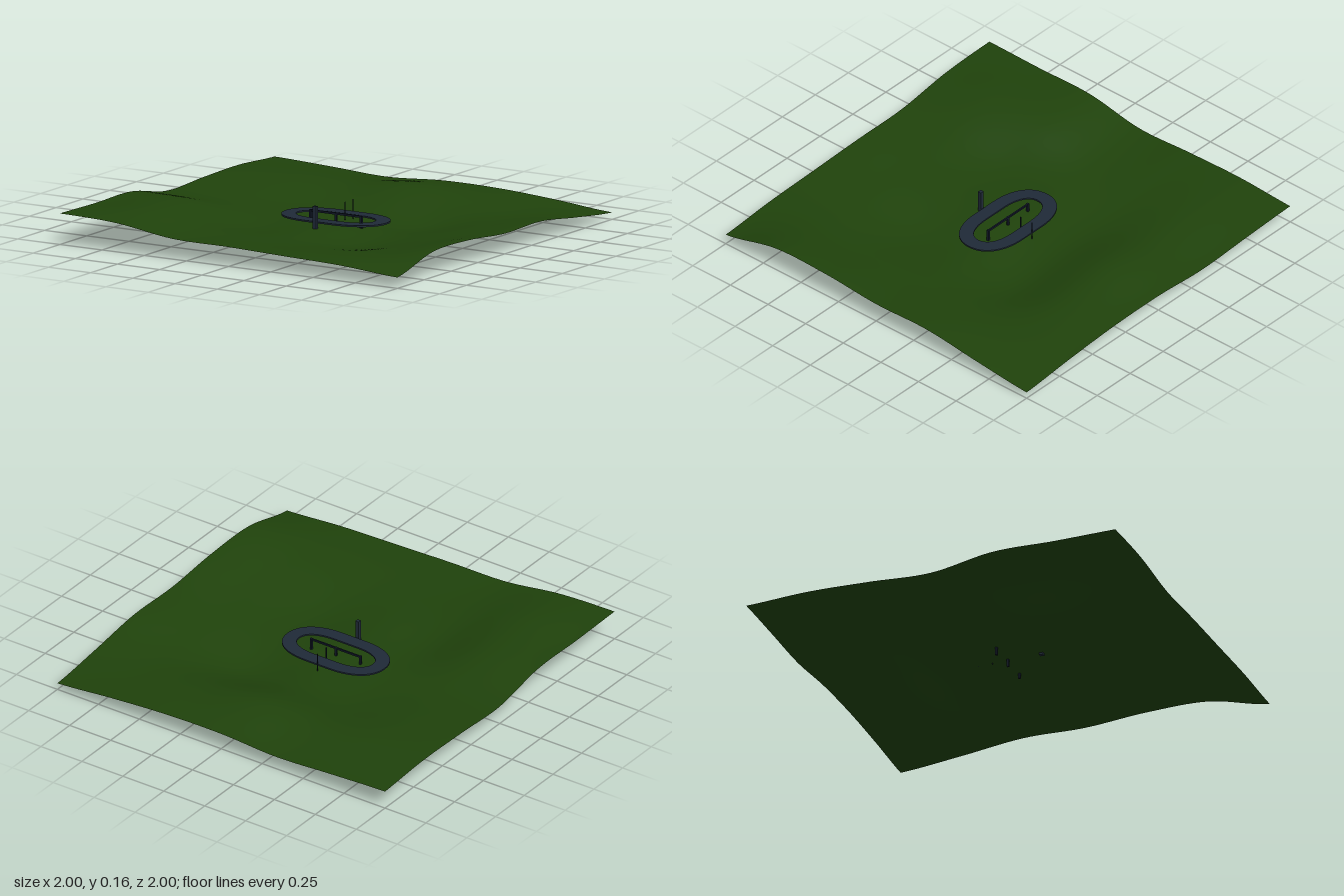
import * as THREE from 'three';

// Ground heights on a coarse 7 x 7 grid (rows run from back to front)
const HEIGHTS = [
  [0.098, 0.085, 0.07, 0.088, 0.085, 0.065, 0.037],
  [0.115, 0.11, 0.1, 0.122, 0.09, 0.07, 0.07],
  [0.11, 0.09, 0.048, 0.038, 0.004, 0.058, 0.108],
  [0.1, 0.085, 0.055, 0.052, 0.024, 0.06, 0.105],
  [0.155, 0.145, 0.055, 0.05, 0.02, 0.07, 0.13],
  [0.155, 0.163, 0.095, 0.07, 0.065, 0.085, 0.13],
  [0.16, 0.148, 0.105, 0.1, 0.09, 0.08, 0.057],
];

// Smooth interpolation through a row of values
function spline(values, t) {
  const last = values.length - 1;
  const i = Math.min(Math.floor(t), last - 1);
  const f = t - i;
  const at = (k) => values[THREE.MathUtils.clamp(k, 0, last)];
  const [a, b, c, d] = [at(i - 1), at(i), at(i + 1), at(i + 2)];
  return b + 0.5 * f * (c - a + f * (2 * a - 5 * b + 4 * c - d + f * (3 * (b - c) + d - a)));
}

function groundHeight(x, z) {
  const u = THREE.MathUtils.clamp((x + 1) * 3, 0, 6);
  const v = THREE.MathUtils.clamp((z + 1) * 3, 0, 6);
  return Math.max(0, spline(HEIGHTS.map((row) => spline(row, u)), v));
}

// Oval outline with straight long sides and full, rounded ends
function oval(target, straight, w, d) {
  const cx = straight + (w - straight) * 0.62;
  const cz = d * 0.62;
  target.moveTo(straight, -d);
  target.bezierCurveTo(cx, -d, w, -cz, w, 0);
  target.bezierCurveTo(w, cz, cx, d, straight, d);
  target.lineTo(-straight, d);
  target.bezierCurveTo(-cx, d, -w, cz, -w, 0);
  target.bezierCurveTo(-w, -cz, -cx, -d, -straight, -d);
  target.closePath();
  return target;
}

export function createModel() {
  const group = new THREE.Group();
  const grass = new THREE.MeshStandardMaterial({ name: 'grass green', color: 0x1f420b, side: THREE.DoubleSide });
  const asphalt = new THREE.MeshStandardMaterial({ name: 'asphalt grey', color: 0x1f2937 });
  const dark = new THREE.MeshStandardMaterial({ name: 'dark metal', color: 0x111827 });

  const add = (name, geometry, material, x = 0, y = 0, z = 0) => {
    const mesh = new THREE.Mesh(geometry, material);
    mesh.name = name;
    mesh.position.set(x, y, z);
    group.add(mesh);
  };
  // Box given by its bottom and top heights
  const upright = (name, material, width, bottom, top, x, z) =>
    add(name, new THREE.BoxGeometry(width, top - bottom, width), material, x, (top + bottom) / 2, z);

  // Rolling ground sheet
  const ground = new THREE.PlaneGeometry(2, 2, 80, 80).rotateX(-Math.PI / 2);
  const p = ground.attributes.position;
  for (let i = 0; i < p.count; i++) p.setY(i, groundHeight(p.getX(i), p.getZ(i)));
  ground.computeVertexNormals();
  add('ground', ground, grass);

  // Flat oval track
  const outline = oval(new THREE.Shape(), 0.07, 0.297, 0.16);
  outline.holes.push(oval(new THREE.Path(), 0.07, 0.225, 0.088));
  const track = new THREE.ExtrudeGeometry(outline, { depth: 0.008, bevelEnabled: false, curveSegments: 24 });
  add('track', track.rotateX(-Math.PI / 2), asphalt, 0, 0.072, 0);

  // Central barrier: rail on three posts
  add('barrierRail', new THREE.BoxGeometry(0.31, 0.01, 0.008), dark, 0, 0.095, 0);
  for (const x of [-0.15, 0, 0.15]) upright('barrierPost', dark, 0.012, 0.012, 0.1, x, 0);

  // Tower beside the front straight
  upright('tower', asphalt, 0.02, 0.04, 0.165, -0.005, 0.185);

  // Thin poles either side of the back straight
  for (const z of [-0.085, -0.16]) upright('linePole', dark, 0.004, 0.04, 0.14, 0, z);

  return group;
}
